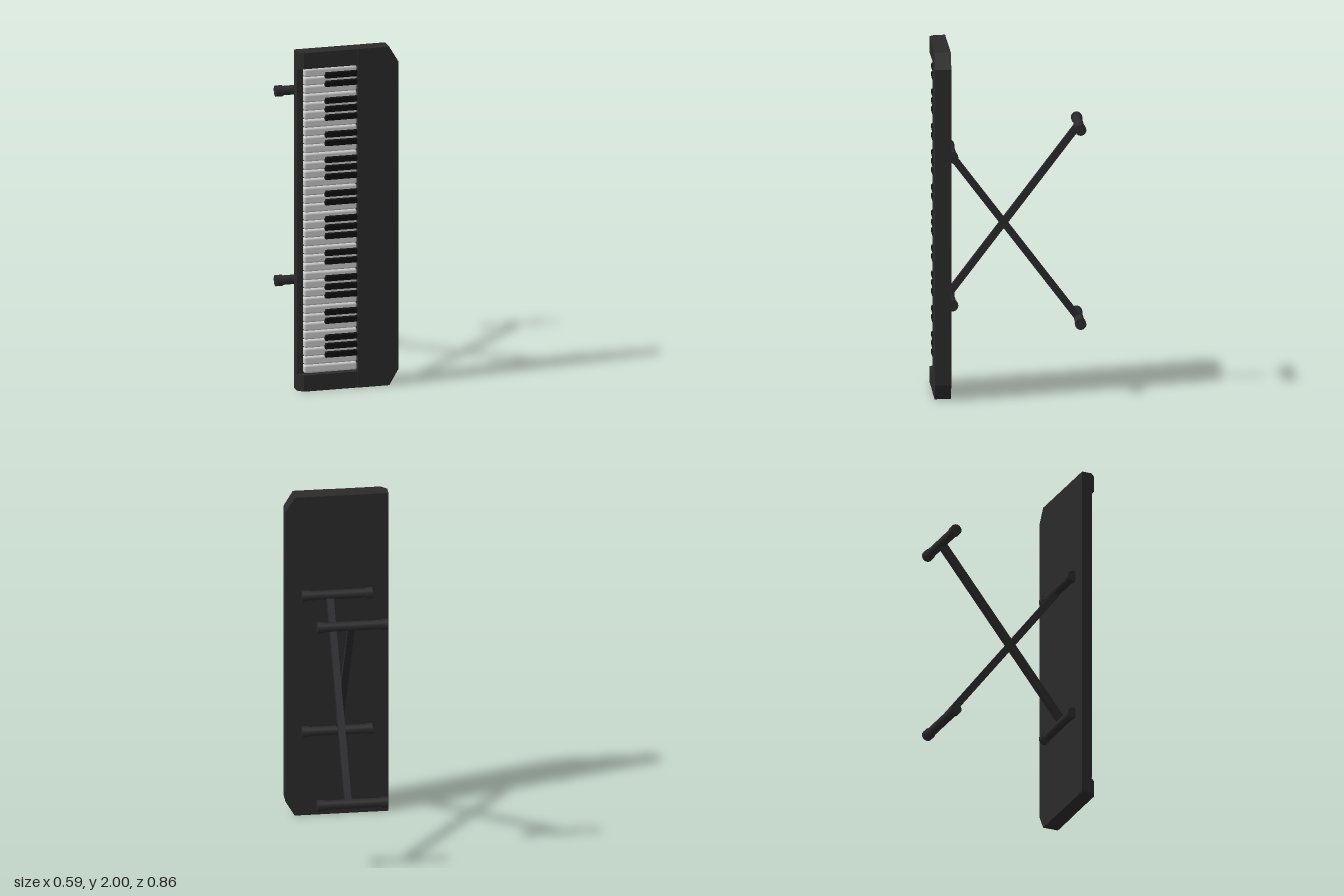
import * as THREE from 'three';
import { RoundedBoxGeometry } from 'three/addons/geometries/RoundedBoxGeometry.js';

const mat = (color) => new THREE.MeshStandardMaterial({ color });
const caseMat = mat(0x2a2a2a), standMat = mat(0x2a2a2c), whiteMat = mat(0xdddddd), blackMat = mat(0x0e0e0e);

function add(parent, name, geometry, material, x = 0, y = 0, z = 0) {
  const mesh = new THREE.Mesh(geometry, material);
  mesh.name = name;
  mesh.position.set(x, y, z);
  parent.add(mesh);
  return mesh;
}

function group(parent, name) {
  const g = new THREE.Group();
  g.name = name;
  parent.add(g);
  return g;
}

function extrude(points, depth) {
  const shape = new THREE.Shape(points.map(([x, y]) => new THREE.Vector2(x, y)));
  return new THREE.ExtrudeGeometry(shape, { depth, bevelEnabled: false });
}

// Outline with the two corners on the +x side cut off
const outline = (x0) => [[x0, 0], [0.24, 0], [0.293, 0.09], [0.293, 1.91], [0.24, 2], [x0, 2]];

function buildCase(parent) {
  const body = group(parent, 'case');
  add(body, 'backPlate', extrude(outline(-0.295), 0.035), caseMat, 0, 0, 0.34);
  add(body, 'controlPanel', extrude(outline(0.055), 0.057), caseMat, 0, 0, 0.375);
  add(body, 'keyLip', new THREE.BoxGeometry(0.035, 1.8, 0.027), caseMat, -0.2775, 1, 0.3885);

  // End blocks, with a sloped front edge, closing both ends of the keys
  const profile = [[-0.295, 0.375], [0.055, 0.375], [0.055, 0.43], [-0.26, 0.43], [-0.295, 0.397]];
  const block = extrude(profile, 0.095).rotateX(Math.PI / 2);
  add(body, 'lowerEndBlock', block, caseMat, 0, 0.095, 0);
  add(body, 'upperEndBlock', block, caseMat, 0, 2, 0);
}

function buildKeys(parent) {
  const keys = group(parent, 'keys');
  const pitch = 0.05, count = 36;
  const white = new RoundedBoxGeometry(0.31, 0.0485, 0.05, 2, 0.012);
  const black = new RoundedBoxGeometry(0.19, 0.036, 0.05, 2, 0.007);
  for (let i = 0; i < count; i++) {
    add(keys, 'whiteKey', white, whiteMat, -0.1, 0.1 + (i + 0.5) * pitch, 0.391);
    // Black keys in alternating groups of three and two
    if (i >= 2 && ![1, 5].includes(i % 7)) {
      add(keys, 'blackKey', black, blackMat, -0.04, 0.1 + i * pitch + 0.006, 0.404);
    }
  }
}

// Cross bar along x with a thicker cap on each end
function buildBar(parent, name, y, z) {
  const bar = group(parent, name);
  bar.position.set(0, y, z);
  const tube = new THREE.CylinderGeometry(0.027, 0.027, 0.39, 24).rotateZ(Math.PI / 2);
  const cap = new THREE.CylinderGeometry(0.032, 0.032, 0.04, 24).rotateZ(Math.PI / 2);
  add(bar, 'tube', tube, standMat);
  for (const side of [-1, 1]) add(bar, 'cap', cap, standMat, side * 0.181);
}

// Square beam between two points
function buildBeam(parent, name, from, to) {
  const a = new THREE.Vector3(...from), b = new THREE.Vector3(...to);
  const beam = add(parent, name, new THREE.BoxGeometry(0.038, 0.04, a.distanceTo(b)), standMat);
  beam.position.copy(a).add(b).multiplyScalar(0.5);
  beam.lookAt(b);
}

function buildStand(parent) {
  const stand = group(parent, 'stand');
  buildBar(stand, 'upperRearBar', 1.535, -0.4);
  buildBar(stand, 'lowerRearBar', 0.415, -0.4);
  buildBar(stand, 'upperFrontBar', 1.385, 0.327);
  buildBar(stand, 'lowerFrontBar', 0.53, 0.327);
  buildBeam(stand, 'risingBeam', [-0.013, 0.57, 0.33], [0.006, 1.53, -0.397]);
  buildBeam(stand, 'fallingBeam', [0.041, 1.375, 0.33], [0.024, 0.42, -0.397]);
  // Pivot joining the crossed beams
  const pin = new THREE.CylinderGeometry(0.012, 0.012, 0.07, 16).rotateZ(Math.PI / 2);
  add(stand, 'pivot', pin, standMat, 0.014, 0.97, 0.022);
}

export function createModel() {
  const model = new THREE.Group();
  model.name = 'keyboardOnStand';
  buildCase(model);
  buildKeys(model);
  buildStand(model);
  return model;
}
